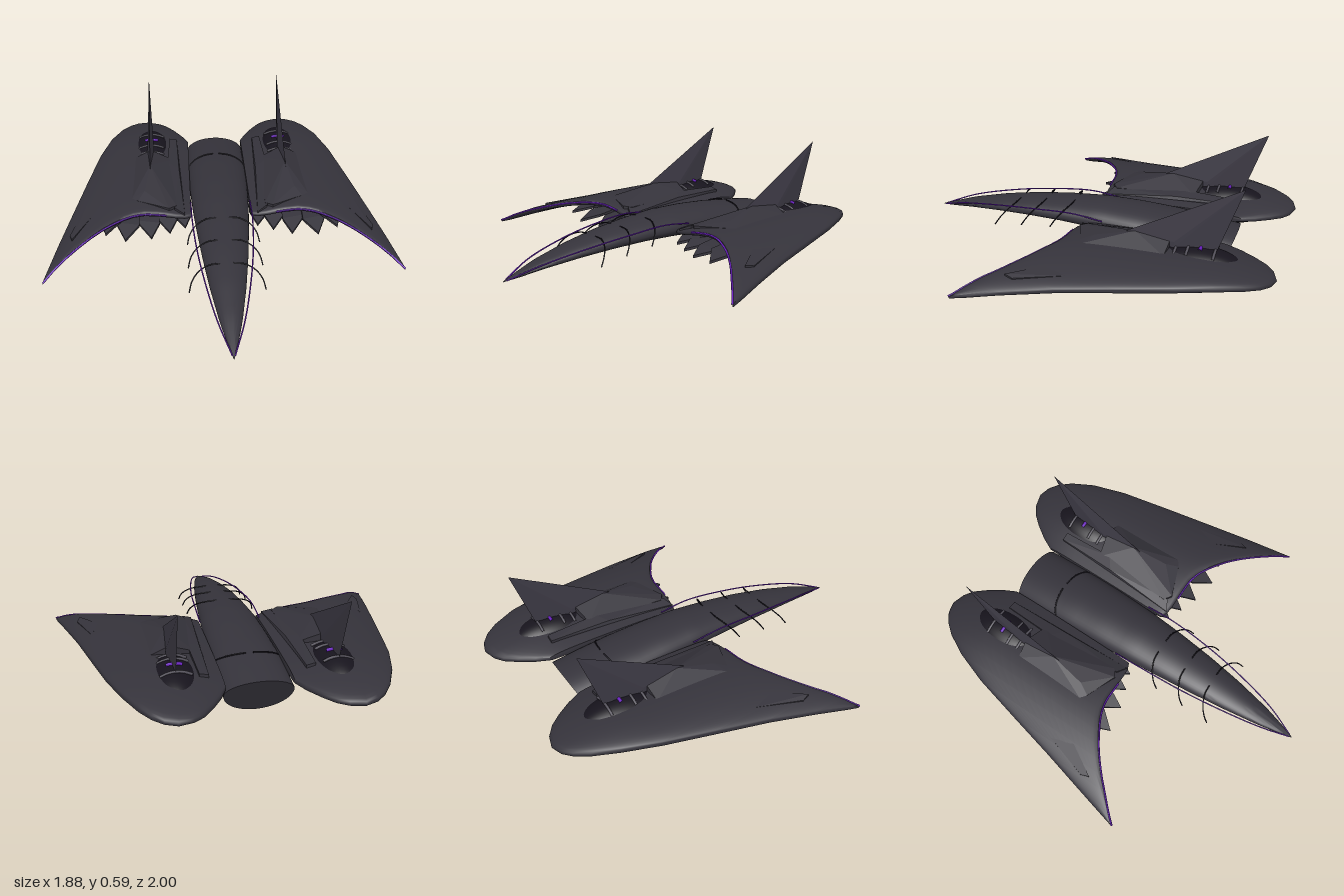
import * as THREE from 'three';
import { toCreasedNormals } from 'three/addons/utils/BufferGeometryUtils.js';
import { ConvexGeometry } from 'three/addons/geometries/ConvexGeometry.js';

const V = (x, y, z) => new THREE.Vector3(x, y, z);
const mat = (color, extra = {}) => new THREE.MeshStandardMaterial({ color, ...extra });
const hullMat = mat(0x35333b);
const plateMat = mat(0x35333b, { flatShading: true });
const finMat = mat(0x3d3a45, { flatShading: true });
const darkMat = mat(0x17141d);
const ribMat = mat(0x55525c);
const glowMat = mat(0x6a1fc0);

function mesh(name, geometry, material) {
  const m = new THREE.Mesh(geometry, material);
  m.name = name;
  return m;
}

// Linear interpolation in a table of [key, value, value...] rows
function lookup(table, k, col = 1) {
  for (let i = 1; i < table.length; i++) {
    const a = table[i - 1], b = table[i];
    if (k <= b[0]) return THREE.MathUtils.lerp(a[col], b[col], Math.max(0, (k - a[0]) / (b[0] - a[0])));
  }
  return table[table.length - 1][col];
}

// Skin closed rings of points and cap both ends
function loft(rings, crease = 0.7) {
  const n = rings[0].length, pos = [], idx = [];
  rings.forEach(r => r.forEach(p => pos.push(p.x, p.y, p.z)));
  for (let i = 0; i < rings.length - 1; i++) {
    for (let j = 0; j < n; j++) {
      const a = i * n + j, b = i * n + (j + 1) % n;
      idx.push(a, b, b + n, a, b + n, a + n);
    }
  }
  const last = (rings.length - 1) * n;
  for (let j = 1; j < n - 1; j++) {
    idx.push(0, j + 1, j, last, last + j, last + j + 1);
  }
  const g = new THREE.BufferGeometry();
  g.setAttribute('position', new THREE.Float32BufferAttribute(pos, 3));
  g.setIndex(idx);
  return toCreasedNormals(g, crease);
}

function tube(name, points, radius, material) {
  const curve = new THREE.CatmullRomCurve3(points);
  return mesh(name, new THREE.TubeGeometry(curve, 32, radius, 6), material);
}

// Fuselage stations: z, half width, top, crease height, bottom
const BODY = [
  [-0.75, 0.172, 0.205, 0.13, 0.012], [-0.6, 0.175, 0.225, 0.145, 0.025], [-0.4, 0.172, 0.25, 0.165, 0.072],
  [-0.2, 0.165, 0.265, 0.18, 0.108], [0, 0.155, 0.27, 0.188, 0.125], [0.2, 0.138, 0.258, 0.186, 0.136],
  [0.4, 0.117, 0.237, 0.178, 0.136], [0.6, 0.09, 0.205, 0.16, 0.13], [0.8, 0.055, 0.16, 0.135, 0.115],
  [0.92, 0.026, 0.123, 0.111, 0.1], [1, 0.002, 0.097, 0.095, 0.093],
];
// Wing stations: x, front z, rear z, mid height, half thickness
const WING = [
  [0.165, 0.04, -0.74, 0.185, 0.022], [0.2, 0.055, -0.81, 0.19, 0.026], [0.25, 0.06, -0.885, 0.2, 0.028],
  [0.3, 0.06, -0.945, 0.21, 0.03], [0.35, 0.06, -0.98, 0.218, 0.03], [0.42, 0.062, -1, 0.225, 0.03],
  [0.48, 0.076, -0.983, 0.226, 0.03], [0.53, 0.098, -0.945, 0.224, 0.03], [0.58, 0.127, -0.88, 0.219, 0.029],
  [0.64, 0.165, -0.76, 0.21, 0.027], [0.7, 0.212, -0.58, 0.197, 0.024], [0.76, 0.265, -0.32, 0.18, 0.021],
  [0.82, 0.325, -0.05, 0.161, 0.018], [0.88, 0.385, 0.2, 0.133, 0.014], [0.92, 0.428, 0.37, 0.108, 0.01],
  [0.935, 0.445, 0.435, 0.1, 0.006],
];
const midHeight = (x, z) => lookup(WING, x, 3) - 0.05 * Math.max(0, (-0.6 - z) / 0.4) ** 2;

function fuselage() {
  const rings = [];
  for (let i = 0; i <= 40; i++) {
    const z = -0.75 + 1.75 * i / 40;
    const [w, top, side, low] = [1, 2, 3, 4].map(c => lookup(BODY, z, c));
    const ring = [];
    for (let j = 0; j < 40; j++) {
      const a = j / 40 * Math.PI * 2, s = Math.sin(a);
      const y = side + s * (s > 0 ? top - side : side - low);
      // the rear face slopes forward towards the belly
      const slant = Math.max(0, (-0.4 - z) / 0.35) * (0.205 - y) * 0.45;
      ring.push(V(w * Math.cos(a), y, z + slant));
    }
    rings.push(ring);
  }
  return mesh('fuselage', loft(rings), hullMat);
}

function wingPanel() {
  const rings = WING.map(([x, front, rear, , t]) => {
    const ring = [];
    for (let j = 0; j < 48; j++) {
      const a = j / 48 * Math.PI * 2, c = Math.cos(a);
      const z = (front + rear) / 2 + (front - rear) / 2 * Math.sin(a);
      ring.push(V(x, midHeight(x, z) + t * Math.sign(c) * Math.sqrt(Math.abs(c)), z));
    }
    return ring;
  });
  return mesh('wing', loft(rings, 0.9), hullMat);
}

// Thin convex plate from [x, z, y] corners
function plate(name, corners, thickness, material = plateMat) {
  const pts = corners.flatMap(([x, z, y]) => [V(x, y, z), V(x, y - thickness, z)]);
  return mesh(name, new ConvexGeometry(pts), material);
}

function side() {
  const g = new THREE.Group();
  g.add(wingPanel());

  // Engine pod with ribs and glowing vent over its top
  const pod = mesh('enginePod', new THREE.SphereGeometry(1, 40, 24), darkMat);
  pod.scale.set(0.127, 0.107, 0.24);
  pod.position.set(0.395, 0.168, -0.62);
  g.add(pod);
  for (const z of [-0.7, -0.63, -0.57, -0.51]) {
    const vent = z === -0.63;
    const top = 0.168 + 0.107 * Math.sqrt(1 - ((z + 0.62) / 0.24) ** 2);
    const w = vent ? 0.038 : 0.075;
    const arch = [-1, -0.5, 0, 0.5, 1].map(u => V(0.388 + u * w, top + 0.003 - 3.5 * (u * w) ** 2, z));
    g.add(tube(vent ? 'glowingVent' : 'podRib', arch, vent ? 0.009 : 0.007, vent ? glowMat : ribMat));
  }

  // Raised cowling, inner strip and fin
  g.add(plate('cowling', [
    [0.49, -0.47, 0.25], [0.49, -0.06, 0.25], [0.455, -0.035, 0.25], [0.285, 0.03, 0.24], [0.245, 0, 0.235],
    [0.26, -0.45, 0.245], [0.39, -0.3, 0.31], [0.39, -0.48, 0.298], [0.42, -0.1, 0.27],
  ], 0.03));
  g.add(plate('innerStrip', [
    [0.235, -0.69, 0.235], [0.28, -0.69, 0.245], [0.29, -0.4, 0.258], [0.2, 0.05, 0.21],
    [0.255, 0.02, 0.235], [0.225, -0.35, 0.24],
  ], 0.03));
  g.add(mesh('fin', new ConvexGeometry([
    V(0.39, 0.6, -0.82), V(0.39, 0.307, -0.26), V(0.39, 0.25, -0.2),
    V(0.371, 0.29, -0.5), V(0.409, 0.29, -0.5), V(0.371, 0.26, -0.5), V(0.409, 0.26, -0.5),
    V(0.39, 0.275, -0.71),
  ]), finMat));

  // Small raised panel near the wing tip
  g.add(plate('tipPanel', [
    [0.745, -0.07, 0.207], [0.705, 0.05, 0.217], [0.8, 0.215, 0.195], [0.815, 0.17, 0.187],
  ], 0.03));

  // Overlapping feather plates below the front edge: root x, tip x, tip z, tip y
  const feathers = [[0.22, 0.2, 0.07, 0.14], [0.3, 0.285, 0.1, 0.13], [0.4, 0.385, 0.135, 0.125],
    [0.51, 0.525, 0.16, 0.135], [0.6, 0.63, 0.14, 0.165]];
  for (const [x, tx, tz, ty] of feathers) {
    const y = midHeight(x, -0.2) - 0.015;
    g.add(plate('featherPlate', [
      [x - 0.05, -0.32, y], [x + 0.06, -0.32, y], [x - 0.06, tz - 0.09, ty + 0.03],
      [x + 0.07, tz - 0.12, ty + 0.03], [tx, tz, ty],
    ], 0.014));
  }

  // Glowing line along the front edge of the wing
  const edge = WING.slice(3).map(([x, front]) => V(x, midHeight(x, front) + 0.004, front + 0.002));
  g.add(tube('wingGlowLine', edge, 0.005, glowMat));

  // Glowing line beside the nose
  g.add(tube('noseGlowLine', [
    V(0.165, 0.215, -0.05), V(0.163, 0.235, 0.12), V(0.147, 0.222, 0.35), V(0.115, 0.196, 0.58),
    V(0.064, 0.152, 0.82), V(0.006, 0.098, 0.985),
  ], 0.0035, glowMat));

  // Curved claws reaching over the fuselage sides
  for (const z of [0.15, 0.32, 0.48]) {
    const top = lookup(BODY, z, 2);
    g.add(tube('claw', [
      V(0.035, top - 0.004, z), V(0.09, top - 0.008, z + 0.005), V(0.145, top - 0.03, z + 0.03),
      V(0.178, top - 0.065, z + 0.06), V(0.193, top - 0.11, z + 0.09),
    ], 0.0035, darkMat));
  }

  // Seam over the rear deck
  const seam = [0.1, 0.4, 0.7, 1, 1.3].map(a =>
    V(0.174 * Math.sin(a), 0.157 + 0.084 * Math.cos(a), -0.51 + 0.035 * a * a));
  g.add(tube('deckSeam', seam, 0.004, darkMat));
  return g;
}

export function createModel() {
  const model = new THREE.Group();
  model.name = 'aircraft';
  model.add(fuselage());
  const left = side();
  left.name = 'leftSide';
  const right = side();
  right.name = 'rightSide';
  right.scale.x = -1;
  model.add(left, right);
  // Stand the belly on the ground
  const box = new THREE.Box3().setFromObject(model);
  model.position.y = -box.min.y;
  return model;
}
